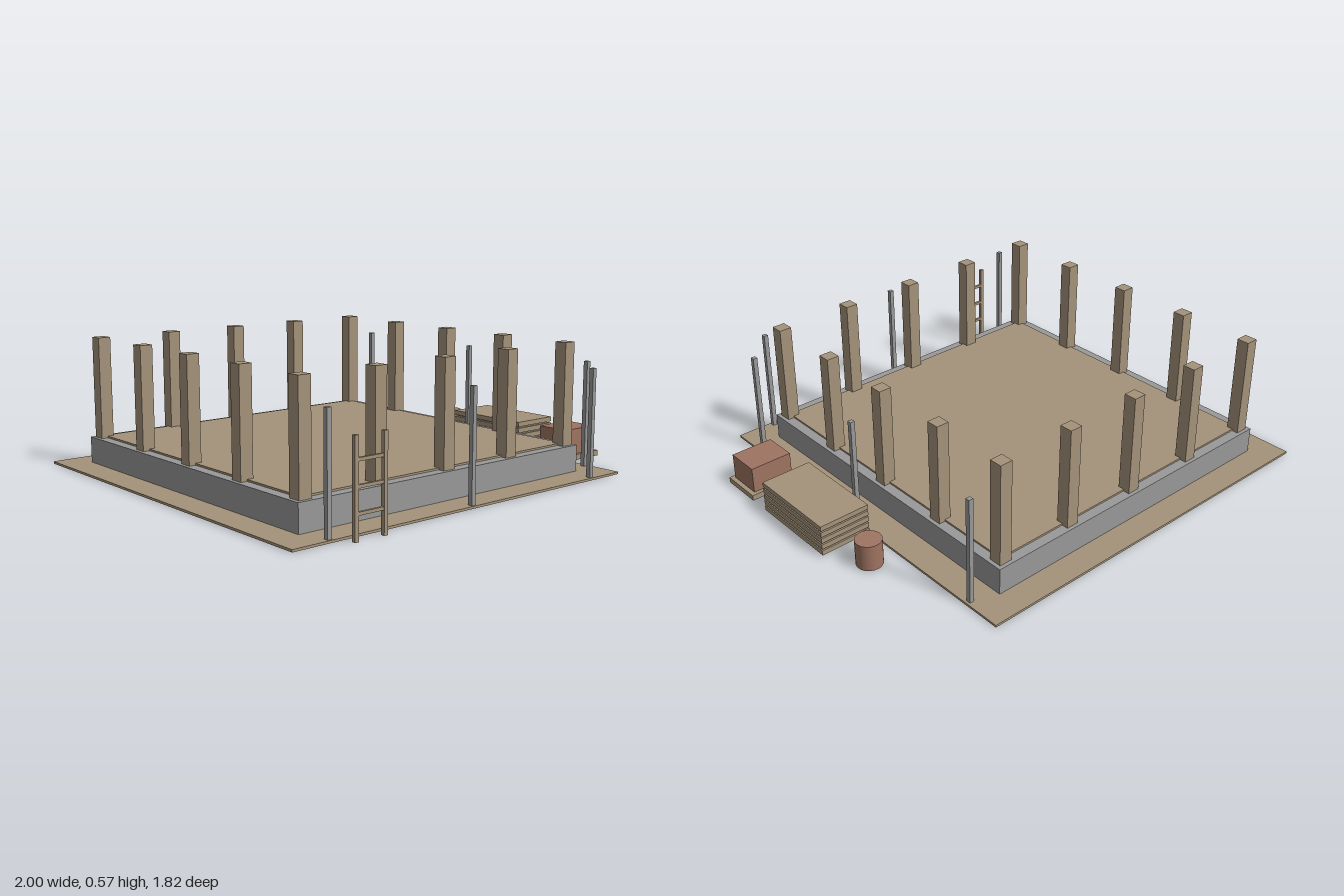
import * as THREE from 'three';

export function createModel() {
  const model = new THREE.Group();
  model.name = 'buildingSite';

  const material = (name, color) => {
    const m = new THREE.MeshStandardMaterial({ color });
    m.name = name;
    return m;
  };
  const timber = material('timber', 0xa4937a);
  const concrete = material('concrete', 0x999999);
  const brick = material('brick', 0x9f7462);

  // Box given by its min and max on each axis
  const box = (name, mat, [x0, x1], [y0, y1], [z0, z1], parent = model) => {
    const mesh = new THREE.Mesh(new THREE.BoxGeometry(x1 - x0, y1 - y0, z1 - z0), mat);
    mesh.position.set((x0 + x1) / 2, (y0 + y1) / 2, (z0 + z1) / 2);
    mesh.name = name;
    parent.add(mesh);
    return mesh;
  };
  const around = (c, size) => [c - size / 2, c + size / 2];
  const group = (name) => {
    const g = new THREE.Group();
    g.name = name;
    model.add(g);
    return g;
  };

  // Wall lines of the building
  const cx = -0.117, cz = -0.03, half = 0.713, step = half / 2;

  // Ground and floor
  box('ground', timber, [-1, 0.77], [0.001, 0.011], [-0.91, 0.855]);
  box('floor', timber, around(cx, half * 2), [0.1, 0.135], around(cz, half * 2));

  // Foundation ring centred on the wall lines
  const wall = 0.09, outer = half * 2 + wall, inner = half * 2 - wall;
  const foundation = group('foundation');
  for (const s of [-1, 1]) {
    box('foundationWall', concrete, around(cx, outer), [0, 0.127], around(cz + s * half, wall), foundation);
    box('foundationWall', concrete, around(cx + s * half, wall), [0, 0.127], around(cz, inner), foundation);
  }

  // Posts around the perimeter
  const posts = group('posts');
  for (let i = -2; i <= 2; i++) {
    for (let j = -2; j <= 2; j++) {
      if (Math.abs(i) < 2 && Math.abs(j) < 2) continue;
      box('post', timber, around(cx + i * step, 0.057), [0.12, 0.575], around(cz + j * step, 0.057), posts);
    }
  }

  // Scaffold poles along the front and left sides
  const poles = group('scaffoldPoles');
  for (const s of [-1, 0, 1]) {
    box('scaffoldPole', concrete, around(cx + s * half, 0.02), [0.005, 0.478], around(0.837, 0.02), poles);
    box('scaffoldPole', concrete, around(0.749, 0.02), [0.005, 0.478], around(cz + s * half, 0.02), poles);
  }

  // Ladder
  const ladder = group('ladder');
  for (const x of [-0.757, -0.622]) {
    box('ladderRail', timber, around(x, 0.017), [0, 0.381], around(0.898, 0.017), ladder);
  }
  for (const y of [0.1, 0.197, 0.293]) {
    box('ladderRung', timber, [-0.757, -0.622], around(y, 0.013), around(0.898, 0.012), ladder);
  }

  // Stacked boards with recessed spacers
  const stack = group('boardStack');
  for (let i = 0; i < 5; i++) {
    const y = 0.017 + i * 0.029;
    box('board', timber, [0.77, 1], around(y, 0.022), [-0.14, 0.278], stack);
    if (i < 4) box('spacer', timber, [0.785, 0.985], [y + 0.011, y + 0.018], [-0.13, 0.268], stack);
  }

  // Brick pile on its pallet
  box('pallet', timber, [0.77, 1], [0.002, 0.027], [0.374, 0.562]);
  box('brickPile', brick, [0.79, 0.98], [0.027, 0.143], [0.392, 0.546]);

  // Barrel
  const barrel = new THREE.Mesh(new THREE.CylinderGeometry(0.056, 0.056, 0.115, 24), brick);
  barrel.position.set(0.884, 0.0595, -0.294);
  barrel.name = 'barrel';
  model.add(barrel);

  return model;
}
